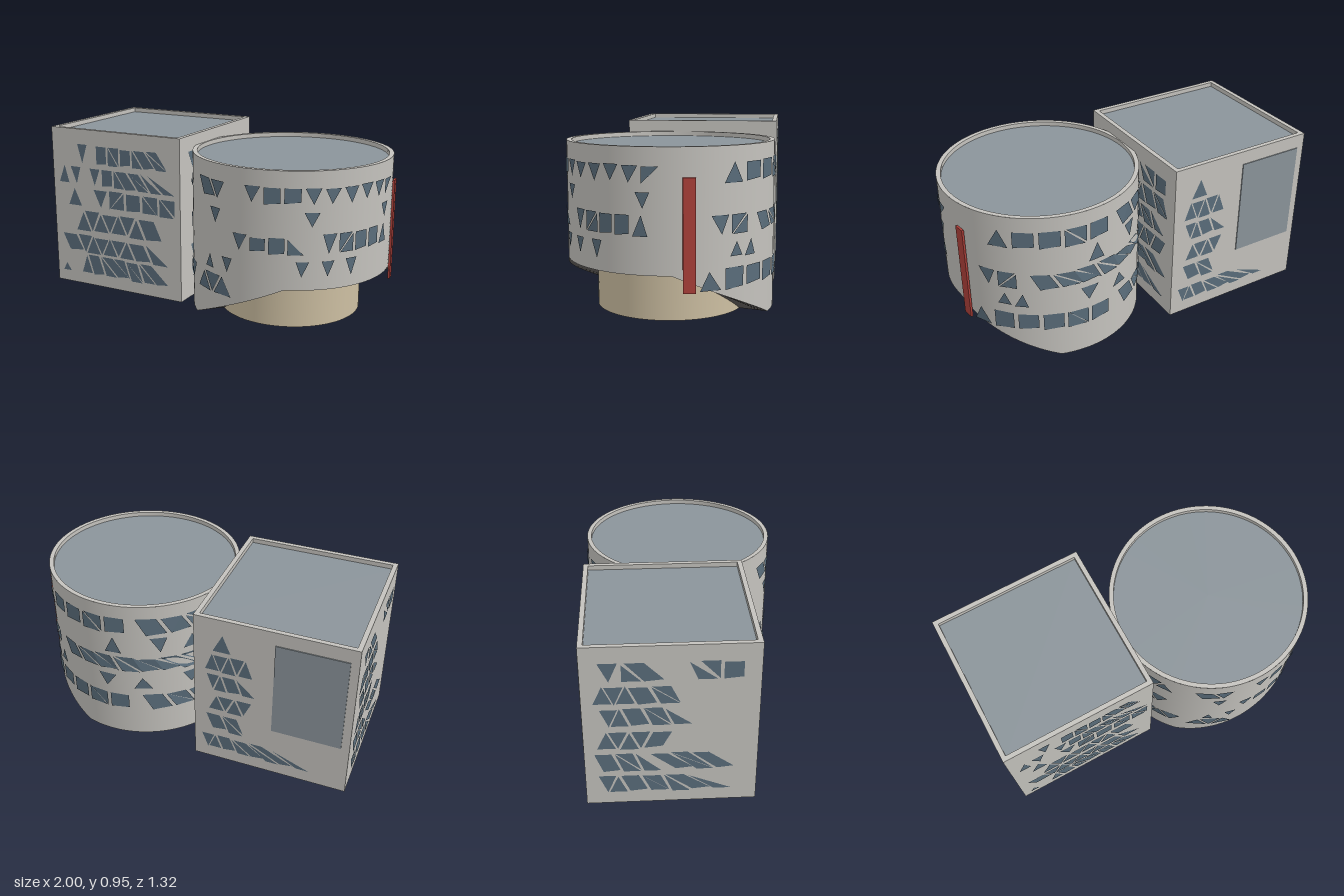
import * as THREE from 'three';

const mat = (name, color, side = THREE.FrontSide) => {
  const m = new THREE.MeshStandardMaterial({ color, side });
  m.name = name;
  return m;
};
const DEG = Math.PI / 180;

// Small seeded generator for the irregular window shapes
let seed = 7;
const rand = () => {
  seed = (seed * 16807) % 2147483647;
  return seed / 2147483647 - 0.5;
};

// One row of windows: V / A = tessellating triangles, P = slanted panes,
// v / a = free-standing triangles, '.' = gap
function windowRow([y0, y1, u0, u1, code], place, out) {
  let t = 'A'.includes(code[0]) ? 0.5 : 0;
  let b = 'VP'.includes(code[0]) ? 0.5 : 0;
  const cells = [];
  for (const c of code) {
    const t0 = t, b0 = b;
    if (c === '.') { t += 0.6; b += 0.6; continue; }
    if ('VPva'.includes(c)) t += 1;
    if ('APva'.includes(c)) b += 1;
    const lo = y0 + 0.012 * rand(), hi = y1 + 0.012 * rand();
    const k = 0.2 * rand();
    if (c === 'V') cells.push([[b0, lo], [t, hi], [t0, hi]]);
    if (c === 'A') cells.push([[b0, lo], [b, lo], [t0, hi]]);
    if (c === 'P') cells.push([[b0, lo], [b, lo + 0.01], [t, hi], [t0, hi]]);
    if (c === 'v') cells.push([[b0 + 0.5 + k, lo], [t, hi], [t0, hi]]);
    if (c === 'a') cells.push([[b0, lo], [b, lo], [t0 + 0.5 + k, hi]]);
  }
  const scale = (u1 - u0) / Math.max(t, b);
  for (const cell of cells) {
    const n = cell.length;
    const cx = cell.reduce((s, p) => s + p[0], 0) / n;
    const cy = cell.reduce((s, p) => s + p[1], 0) / n;
    const pts = cell.map(([u, y]) => place(u0 + (cx + (u - cx) * 0.82) * scale, cy + (y - cy) * 0.92));
    for (let i = 1; i < n - 1; i++) out.push(...pts[0], ...pts[i], ...pts[i + 1]);
  }
}

function windows(rows, place, material, name) {
  const pos = [];
  rows.forEach((r) => windowRow(r, place, pos));
  const g = new THREE.BufferGeometry();
  g.setAttribute('position', new THREE.Float32BufferAttribute(pos, 3));
  g.computeVertexNormals();
  const m = new THREE.Mesh(g, material);
  m.name = name;
  return m;
}

// Surface swept around y between two [radius, height] rules
function sweep(a0, a1, low, high, steps) {
  const pos = [], idx = [];
  for (let i = 0; i <= steps; i++) {
    const a = a0 + ((a1 - a0) * i) / steps;
    for (const [r, y] of [low(a), high(a)]) pos.push(r * Math.cos(a * DEG), y, r * Math.sin(a * DEG));
    if (i < steps) idx.push(2 * i, 2 * i + 1, 2 * i + 2, 2 * i + 1, 2 * i + 3, 2 * i + 2);
  }
  const g = new THREE.BufferGeometry();
  g.setAttribute('position', new THREE.Float32BufferAttribute(pos, 3));
  g.setIndex(idx);
  g.computeVertexNormals();
  return g;
}

export function createModel() {
  const model = new THREE.Group();
  const wall = mat('concrete', 0xc4c2bd, THREE.DoubleSide);
  const roof = mat('roofGrey', 0x8b949a, THREE.DoubleSide);
  const glass = mat('windowBlue', 0x5a6d7b);
  const beige = mat('beigeBase', 0xcdbfa2, THREE.DoubleSide);
  const dark = mat('darkSoffit', 0x64615e, THREE.DoubleSide);
  const red = mat('signRed', 0xae403a);
  const add = (parent, name, geo, material, x = 0, y = 0, z = 0) => {
    const m = new THREE.Mesh(geo, material);
    m.name = name;
    m.position.set(x, y, z);
    parent.add(m);
    return m;
  };

  // Square block with a parapet around its sunken roof
  const S = 0.875, H = 0.95, half = S / 2, lip = 0.026, drop = 0.03;
  const block = new THREE.Group();
  block.name = 'squareBlock';
  block.position.set(-0.5, 0, -0.165);
  block.rotation.y = -0.155;
  model.add(block);
  add(block, 'blockWalls', new THREE.BoxGeometry(S, H - drop, S), wall, 0, (H - drop) / 2, 0);
  const square = (shape, s) => {
    shape.moveTo(-s, -s);
    shape.lineTo(s, -s);
    shape.lineTo(s, s);
    shape.lineTo(-s, s);
    shape.closePath();
    return shape;
  };
  const frame = square(new THREE.Shape(), half);
  frame.holes.push(square(new THREE.Path(), half - lip));
  add(block, 'blockParapet', new THREE.ExtrudeGeometry(frame, { depth: drop, bevelEnabled: false }), wall, 0, H - drop, 0)
    .rotation.set(-Math.PI / 2, 0, 0);
  add(block, 'blockRoof', new THREE.BoxGeometry(S - 2 * lip, 0.004, S - 2 * lip), roof, 0, H - drop + 0.002, 0);
  add(block, 'backPanel', new THREE.BoxGeometry(0.385, 0.565, 0.006), roof, -0.2, 0.588, -half - 0.002);

  // Window rows of each block face: bottom, top, from, to, shapes
  const frontRows = [
    [0.75, 0.86, -0.26, 0.37, 'v.PAVPAPAV'],
    [0.62, 0.73, -0.4, 0.42, 'av.vPAPAVAa'],
    [0.49, 0.6, -0.34, 0.41, 'a.vVAPAVAV'],
    [0.34, 0.46, -0.29, 0.33, 'AVAVAVAP'],
    [0.2, 0.31, -0.4, 0.37, 'PVAVAVAPA'],
    [0.07, 0.19, -0.26, 0.37, 'APAPVAVAP'],
    [0.065, 0.12, -0.4, -0.33, 'a'],
  ];
  const backRows = [
    [0.75, 0.86, -0.34, -0.22, 'a'],
    [0.62, 0.73, -0.38, -0.1, 'AVAVA'],
    [0.49, 0.6, -0.37, -0.08, 'VAPA'],
    [0.35, 0.46, -0.36, -0.1, 'AVAV'],
    [0.21, 0.32, -0.38, -0.14, 'PAV'],
    [0.07, 0.17, -0.4, 0.25, 'VAPAPAPa'],
  ];
  const sideRows = [
    [0.75, 0.86, -0.36, 0.36, 'vAP..aVP'],
    [0.62, 0.73, -0.39, 0.06, 'AVAPAV'],
    [0.49, 0.6, -0.36, 0.12, 'VAPAVA'],
    [0.35, 0.46, -0.38, 0.02, 'AVAVP'],
    [0.21, 0.32, -0.4, 0.34, 'PAVA.PAVP'],
    [0.07, 0.18, -0.38, 0.33, 'VAPAVAPA'],
  ];
  const mirrored = sideRows.map(([a, b, c, d, s]) => [a, b, -d, -c, s]);
  [['front', frontRows], ['right', mirrored], ['back', backRows], ['left', sideRows]].forEach(([n, rows], i) => {
    const face = windows(rows, (u, y) => [u, y, half + 0.004], glass, n + 'FaceWindows');
    face.rotation.y = (i * Math.PI) / 2;
    block.add(face);
  });

  // Round drum whose lower edge lifts over the entrance
  const R = 0.55, top = 0.885, inner = 0.395, lift = 0.265;
  const drum = new THREE.Group();
  drum.name = 'roundDrum';
  drum.position.set(0.44, 0, 0.097);
  model.add(drum);
  const edge = (a) => {
    const d = Math.abs(((a - 40 + 540) % 360) - 180);
    return lift * THREE.MathUtils.clamp((104 - d) / 65, 0, 1);
  };
  add(drum, 'drumWall', sweep(-180, 180, (a) => [R, edge(a)], (a) => [R, top], 180), wall);
  add(drum, 'drumRim', sweep(-180, 180, () => [R, top], () => [R - 0.025, top], 120), wall);
  add(drum, 'drumRimInside', sweep(-180, 180, () => [R - 0.025, top], () => [R - 0.025, top - 0.025], 120), wall);
  add(drum, 'drumRoof', new THREE.CircleGeometry(R - 0.004, 96), roof, 0, top - 0.025, 0).rotation.x = -Math.PI / 2;
  add(drum, 'entranceSoffit', sweep(-64, 144, (a) => [inner, edge(a)], (a) => [R, edge(a)], 104), dark);
  add(drum, 'entranceWall', sweep(-64, 144, () => [inner, 0], (a) => [inner, edge(a)], 104), beige);

  // Drum windows, measured in degrees running rightwards seen from outside
  const drumRows = [
    [0.7, 0.8, -180, -148, 'VAVA'],
    [0.7, 0.8, -138, -113, 'PV'],
    [0.71, 0.8, -102, -6, 'vPPvvvvvV'],
    [0.57, 0.66, -126, -116, 'v'],
    [0.58, 0.69, -178, -160, 'aa'],
    [0.6, 0.68, -70, -60, 'v'],
    [0.59, 0.67, -20, -11, 'v'],
    [0.44, 0.55, -180, -150, 'VAV'],
    [0.45, 0.54, -109, -68, 'vPPA'],
    [0.45, 0.56, -60, -12, 'vVAPPa'],
    [0.33, 0.42, -74, -38, 'v.v.v'],
    [0.31, 0.4, -130, -108, 'a.v'],
    [0.18, 0.29, -180, -108, 'AVAV.AVA'],
    [0.45, 0.55, 18, 42, 'vVA'],
    [0.45, 0.55, 47, 178, 'PAPVAPPAVAPA'],
    [0.34, 0.42, 29, 48, 'aa'],
    [0.33, 0.42, 75, 160, 'v.a..v.a'],
    [0.18, 0.29, 12, 95, 'aPPPAVP'],
    [0.18, 0.29, 100, 178, 'PAVPAVA'],
    [0.7, 0.81, 25, 95, 'aPPAVP'],
    [0.7, 0.81, 98, 178, 'PPAVPAV'],
    [0.58, 0.68, 80, 165, 'a..v.a..v'],
  ];
  const bend = (u, y) => [(R + 0.007) * Math.cos(u * DEG), y, -(R + 0.007) * Math.sin(u * DEG)];
  drum.add(windows(drumRows, bend, glass, 'drumWindows'));

  // Vertical sign strip beside the entrance
  add(model, 'signStrip', new THREE.BoxGeometry(0.012, 0.56, 0.062), red, 0.994, 0.46, 0.022);
  return model;
}
